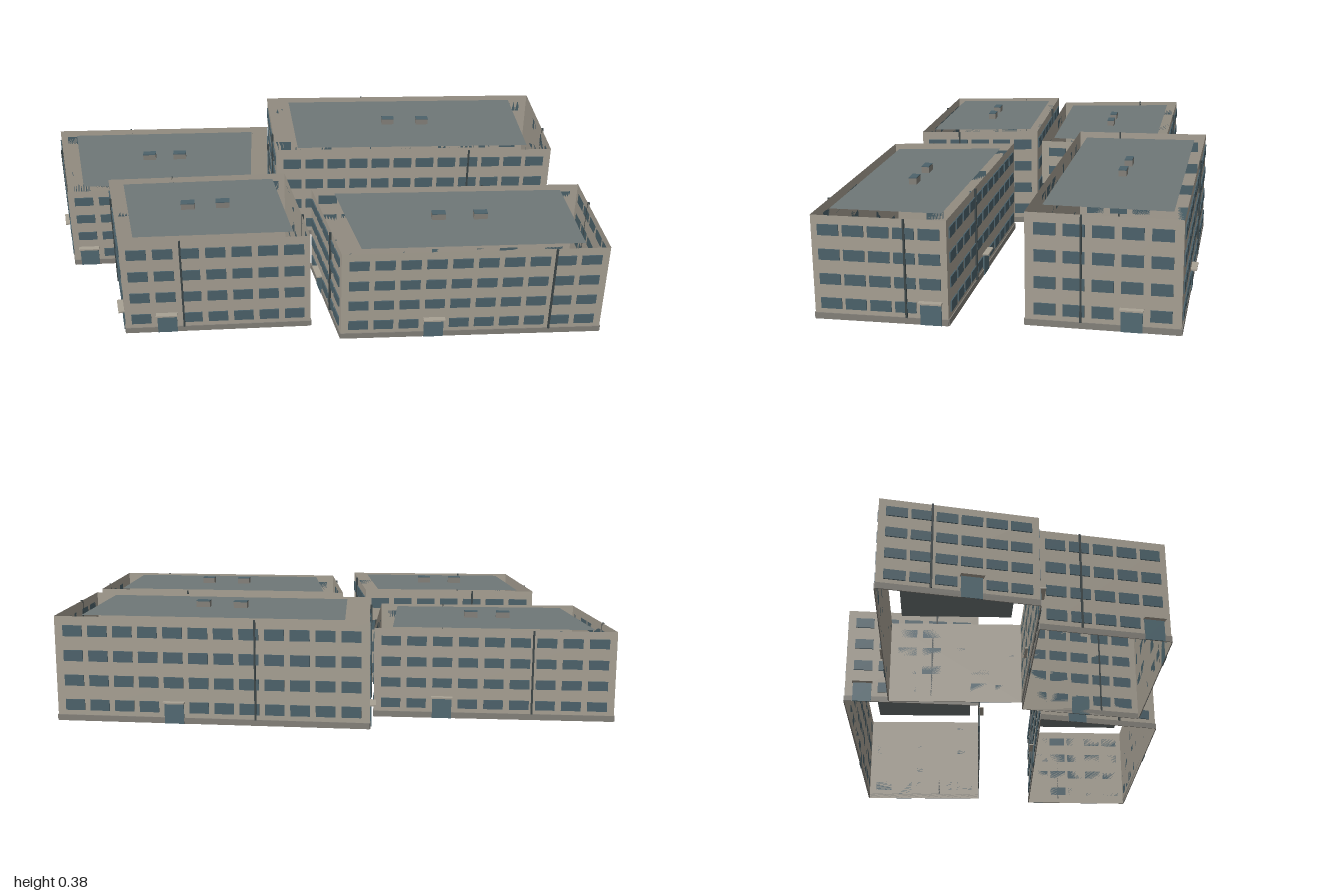
import * as THREE from 'three';
import { mergeGeometries } from 'three/addons/utils/BufferGeometryUtils.js';

const mat = (name, color, side = THREE.FrontSide) => {
  const m = new THREE.MeshStandardMaterial({ color, side });
  m.name = name;
  return m;
};

const WALL = mat('wall plaster', 0xa8a194, THREE.DoubleSide);
const PLINTH = mat('plinth stone', 0x84817a);
const ROOF = mat('roof grey', 0x6f7777, THREE.DoubleSide);
const GLASS = mat('window glass', 0x4c626b);
const DOOR = mat('door blue grey', 0x526a73);
const PIPE = mat('drainpipe dark', 0x3c4648);

const PLINTH_H = 0.02;
const WINDOW_W = 0.065;
const ROOF_SCALE = 0.84;

// corners [x, z]: back left, back right, front right, front left
// facades: front, right, back, left, each [window columns, door column, pipe position]
const BUILDINGS = [
  { name: 'backRightBlock', height: 0.355,
    corners: [[-0.22, -0.51], [0.82, -0.62], [0.87, -0.155], [-0.135, -0.05]],
    facades: [[12, 2, 0.7], [5, 3, 0.36], [12, 4, 0.64], [5, 0, 0.68]],
    vents: [[0.265, -0.33], [0.395, -0.34]] },
  { name: 'backLeftBlock', height: 0.305,
    corners: [[-1, -0.255], [-0.205, -0.355], [-0.15, 0.105], [-0.85, 0.21]],
    facades: [[8, 0, 0.68], [5, 1, 0.68], [9, 2, 0.66], [6, 3, 0.33]],
    vents: [[-0.61, -0.065], [-0.5, -0.08]] },
  { name: 'frontLeftBlock', height: 0.355,
    corners: [[-0.7, 0.2], [-0.09, 0.105], [0.035, 0.515], [-0.575, 0.605]],
    facades: [[7, 1, 0.315], [5, 2, 0.32], [7, 3, 0.64], [5, 4, 0.32]],
    vents: [[-0.39, 0.365], [-0.275, 0.345]] },
  { name: 'frontRightBlock', height: 0.33,
    corners: [[0.01, 0.165], [0.945, 0.06], [1, 0.47], [0.14, 0.58]],
    facades: [[10, 3, 0.8], [5, 4, 0.69], [11, 5, 0.36], [5, 1, 0.68]],
    vents: [[0.45, 0.325], [0.59, 0.31]] },
];

function add(group, name, geometry, material) {
  const mesh = new THREE.Mesh(geometry, material);
  mesh.name = name;
  group.add(mesh);
  return mesh;
}

// box standing on y, with its back on the wall plane z = 0
const plate = (w, h, d, x, y) =>
  new THREE.BoxGeometry(w, h, d).translate(x, y + h / 2, d / 2);

// one facade in its own frame: x along the wall, z outward
function facade(name, from, to, height, [columns, doorColumn, pipeAt]) {
  const g = new THREE.Group();
  g.name = name;
  const dx = to[0] - from[0], dz = to[1] - from[1];
  const length = Math.hypot(dx, dz);
  g.position.set(from[0], 0, from[1]);
  g.rotation.y = Math.atan2(-dz, dx);

  add(g, 'wall', new THREE.PlaneGeometry(length, height).translate(length / 2, height / 2, 0), WALL);
  add(g, 'plinth', plate(length, PLINTH_H, 0.003, length / 2, 0), PLINTH);

  // four floors of windows, with the door in place of one ground floor window
  const floor = (height - PLINTH_H) / 4;
  const spacing = (columns > 6 ? 0.965 : 0.93) / columns;
  const columnX = i => length * (0.5 + (i - (columns - 1) / 2) * spacing);
  const panes = [];
  for (let row = 0; row < 4; row++) {
    for (let i = 0; i < columns; i++) {
      if (row === 0 && i === doorColumn) continue;
      panes.push(plate(WINDOW_W, floor * 0.44, 0.004, columnX(i), PLINTH_H + floor * (row + 0.2)));
    }
  }
  add(g, 'windows', mergeGeometries(panes), GLASS);

  const doorX = columnX(doorColumn);
  add(g, 'door', plate(WINDOW_W, 0.07, 0.005, doorX, 0), DOOR);
  add(g, 'doorCanopy', plate(0.072, 0.005, 0.02, doorX, 0.07), WALL);
  add(g, 'drainpipe', plate(0.006, height - PLINTH_H, 0.007, length * pipeAt, PLINTH_H), PIPE);
  return g;
}

function building({ name, height, corners, facades, vents }) {
  const g = new THREE.Group();
  g.name = name;
  const [bl, br, fr, fl] = corners;
  [['frontFacade', fl, fr], ['rightFacade', fr, br], ['backFacade', br, bl], ['leftFacade', bl, fl]]
    .forEach(([label, from, to], i) => g.add(facade(label, from, to, height, facades[i])));

  // roof panel, inset from the walls with an open gap all round
  const cx = corners.reduce((s, c) => s + c[0], 0) / 4;
  const cz = corners.reduce((s, c) => s + c[1], 0) / 4;
  const outline = [fl, fr, br, bl].map(([x, z]) =>
    new THREE.Vector2(cx + (x - cx) * ROOF_SCALE, -(cz + (z - cz) * ROOF_SCALE)));
  const roofY = height - 0.002;
  add(g, 'roof', new THREE.ShapeGeometry(new THREE.Shape(outline)).rotateX(-Math.PI / 2), ROOF)
    .position.y = roofY;

  // roof vents with dark tops
  const turn = Math.atan2(bl[1] - br[1], br[0] - bl[0]);
  for (const [x, z] of vents) {
    const vent = new THREE.Group();
    vent.name = 'roofVent';
    vent.position.set(x, roofY, z);
    vent.rotation.y = turn;
    add(vent, 'ventBody', new THREE.BoxGeometry(0.046, 0.02, 0.026).translate(0, 0.01, 0), PLINTH);
    add(vent, 'ventTop', new THREE.BoxGeometry(0.046, 0.003, 0.026).translate(0, 0.0215, 0), GLASS);
    g.add(vent);
  }
  return g;
}

export function createModel() {
  const model = new THREE.Group();
  model.name = 'buildingBlocks';
  for (const b of BUILDINGS) model.add(building(b));
  return model;
}
